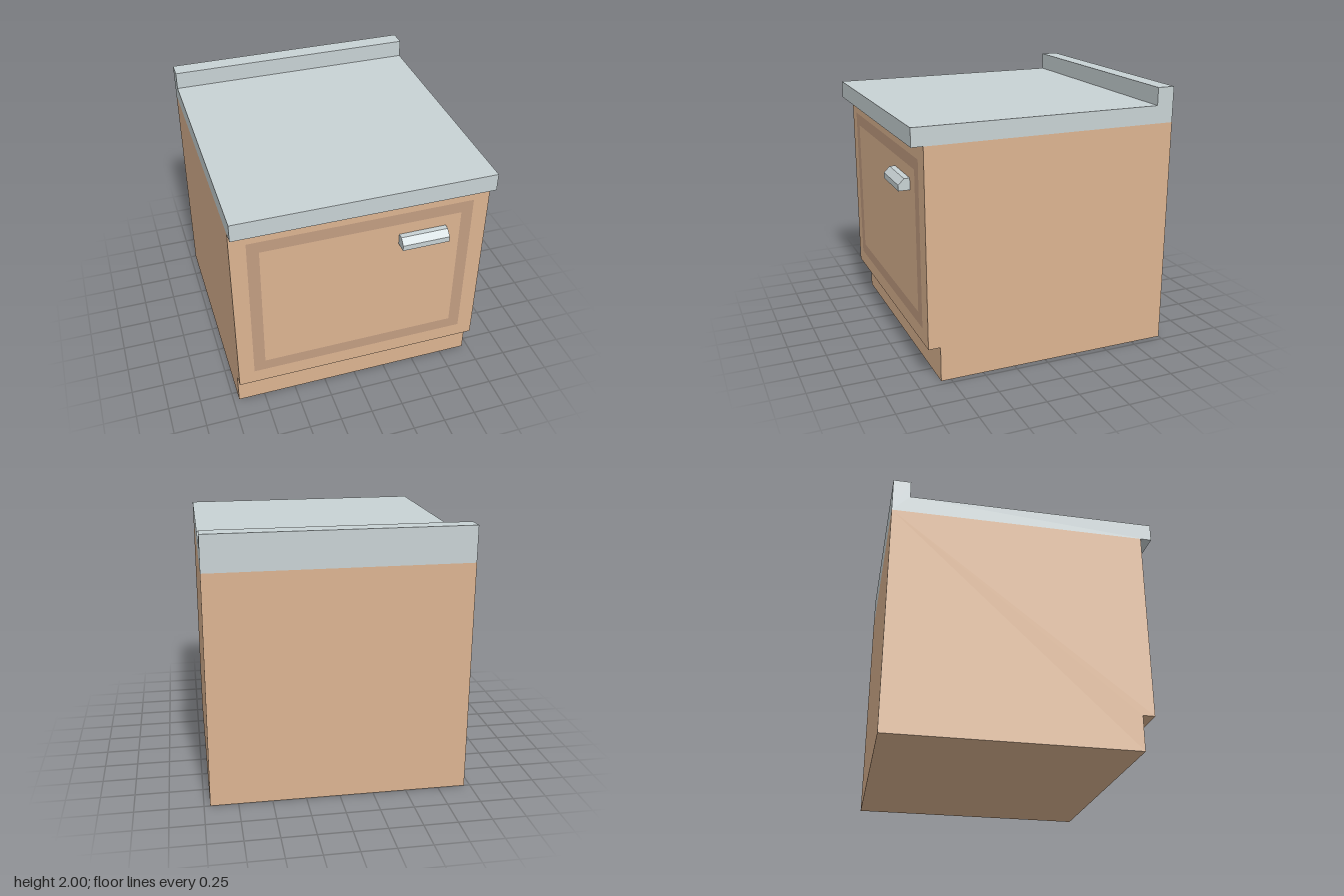
import * as THREE from 'three';

const WIDTH = 1.91;

// Extrude a side profile of [z, y] points along x, from x0 to x1
function sideProfile(name, points, x0, x1, material) {
  const shape = new THREE.Shape(points.map(([z, y]) => new THREE.Vector2(-z, y)));
  const geometry = new THREE.ExtrudeGeometry(shape, { depth: x1 - x0, bevelEnabled: false });
  geometry.rotateY(Math.PI / 2).translate(x0, 0, 0);
  const mesh = new THREE.Mesh(geometry, material);
  mesh.name = name;
  return mesh;
}

function rectangle(PathType, halfWidth, y0, y1) {
  return new PathType([
    new THREE.Vector2(-halfWidth, y0), new THREE.Vector2(halfWidth, y0),
    new THREE.Vector2(halfWidth, y1), new THREE.Vector2(-halfWidth, y1),
  ]);
}

export function createModel() {
  const group = new THREE.Group();
  group.name = 'kitchenCabinet';
  const wood = new THREE.MeshStandardMaterial({ color: 0xdcb491 });
  const darkWood = new THREE.MeshStandardMaterial({ color: 0xc29d81 });
  const metal = new THREE.MeshStandardMaterial({ color: 0xc8d2d4 });
  const half = WIDTH / 2;

  // Cabinet body with a recessed toe kick
  group.add(sideProfile('cabinetBody', [
    [-1, 0], [0.825, 0], [0.825, 0.265], [0.915, 0.265], [0.915, 1.735], [-1, 1.735],
  ], -half, half, wood));

  // Worktop with a raised lip along the back
  group.add(sideProfile('worktop', [
    [-1, 1.735], [1, 1.735], [1, 1.868], [-0.868, 1.868], [-0.868, 2], [-1, 2],
  ], -half, half, metal));

  // Handle with a chamfered top front edge
  group.add(sideProfile('handle', [
    [0.915, 1.35], [1, 1.35], [1, 1.393], [0.957, 1.437], [0.915, 1.437],
  ], 0.275, 0.632, metal));

  // Flat dark border on the door
  const border = rectangle(THREE.Shape, 0.835, 0.38, 1.618);
  border.holes.push(rectangle(THREE.Path, 0.747, 0.47, 1.527));
  const doorBorder = new THREE.Mesh(new THREE.ShapeGeometry(border), darkWood);
  doorBorder.name = 'doorBorder';
  doorBorder.position.z = 0.917;
  group.add(doorBorder);

  return group;
}
